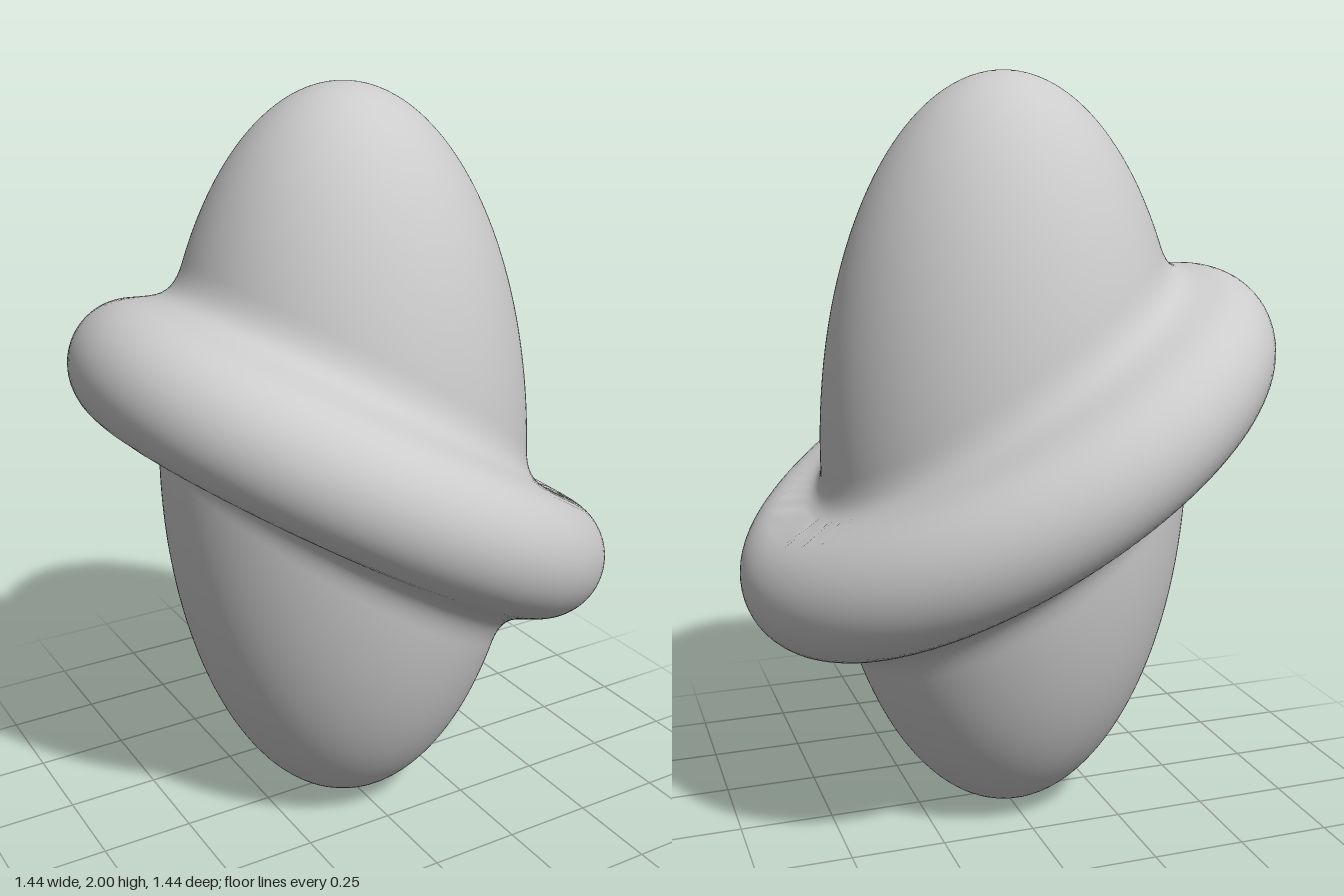
import * as THREE from 'three';

// Body ellipsoid radii and tilted ring dimensions
const BODY = { a: 0.495, b: 1 };
const RING = { rx: 0.55, rise: 0.32, rz: 0.55, tube: 0.168 };
const LONG = Math.hypot(RING.rx, RING.rise);
const COS = RING.rx / LONG, SIN = RING.rise / LONG;
const BLEND = 0.12;

// Approximate distance to the upright ellipsoid
function bodyDistance(x, y, z) {
  const { a, b } = BODY;
  const k0 = Math.hypot(x / a, y / b, z / a);
  const k1 = Math.hypot(x / (a * a), y / (b * b), z / (a * a));
  return k0 * (k0 - 1) / k1;
}

// Distance to a round tube along a tilted elliptical loop
function ringDistance(x, y, z) {
  const A = LONG, B = RING.rz;
  const u = x * COS - y * SIN, w = x * SIN + y * COS;
  let t = Math.atan2(z / B, u / A);
  for (let i = 0; i < 4; i++) {
    const c = Math.cos(t), s = Math.sin(t);
    const f = A * u * s - B * z * c + (B * B - A * A) * s * c;
    const df = A * u * c + B * z * s + (B * B - A * A) * (c * c - s * s);
    if (df > 1e-4) t -= f / df;
  }
  return Math.hypot(u - A * Math.cos(t), z - B * Math.sin(t), w) - RING.tube;
}

// Smooth union of body and ring
function field(x, y, z) {
  const d1 = bodyDistance(x, y, z), d2 = ringDistance(x, y, z);
  const h = Math.max(BLEND - Math.abs(d1 - d2), 0) / BLEND;
  return Math.min(d1, d2) - h * h * BLEND / 4;
}

// Outermost surface point along a direction from the centre
function surfaceRadius(d) {
  const at = r => field(d.x * r, d.y * r, d.z * r);
  let lo = 1.06;
  while (lo > 0.3 && at(lo) > 0) lo -= 0.02;
  let hi = lo + 0.02;
  for (let i = 0; i < 14; i++) {
    const mid = (lo + hi) / 2;
    if (at(mid) > 0) hi = mid; else lo = mid;
  }
  return (lo + hi) / 2;
}

export function createModel() {
  const group = new THREE.Group();
  group.name = 'ringedEgg';

  // Sphere pushed out to the blended surface, with smooth field normals
  const geometry = new THREE.SphereGeometry(1, 160, 140);
  const pos = geometry.attributes.position, nor = geometry.attributes.normal;
  const p = new THREE.Vector3(), n = new THREE.Vector3(), e = 0.002;
  for (let i = 0; i < pos.count; i++) {
    p.fromBufferAttribute(pos, i).normalize();
    p.multiplyScalar(surfaceRadius(p));
    n.set(
      field(p.x + e, p.y, p.z) - field(p.x - e, p.y, p.z),
      field(p.x, p.y + e, p.z) - field(p.x, p.y - e, p.z),
      field(p.x, p.y, p.z + e) - field(p.x, p.y, p.z - e)
    ).normalize();
    pos.setXYZ(i, p.x, p.y, p.z);
    nor.setXYZ(i, n.x, n.y, n.z);
  }
  geometry.translate(0, 1, 0);

  const mesh = new THREE.Mesh(geometry, new THREE.MeshStandardMaterial({ color: 0xcccccc }));
  mesh.name = 'bodyWithTiltedRing';
  group.add(mesh);
  return group;
}
